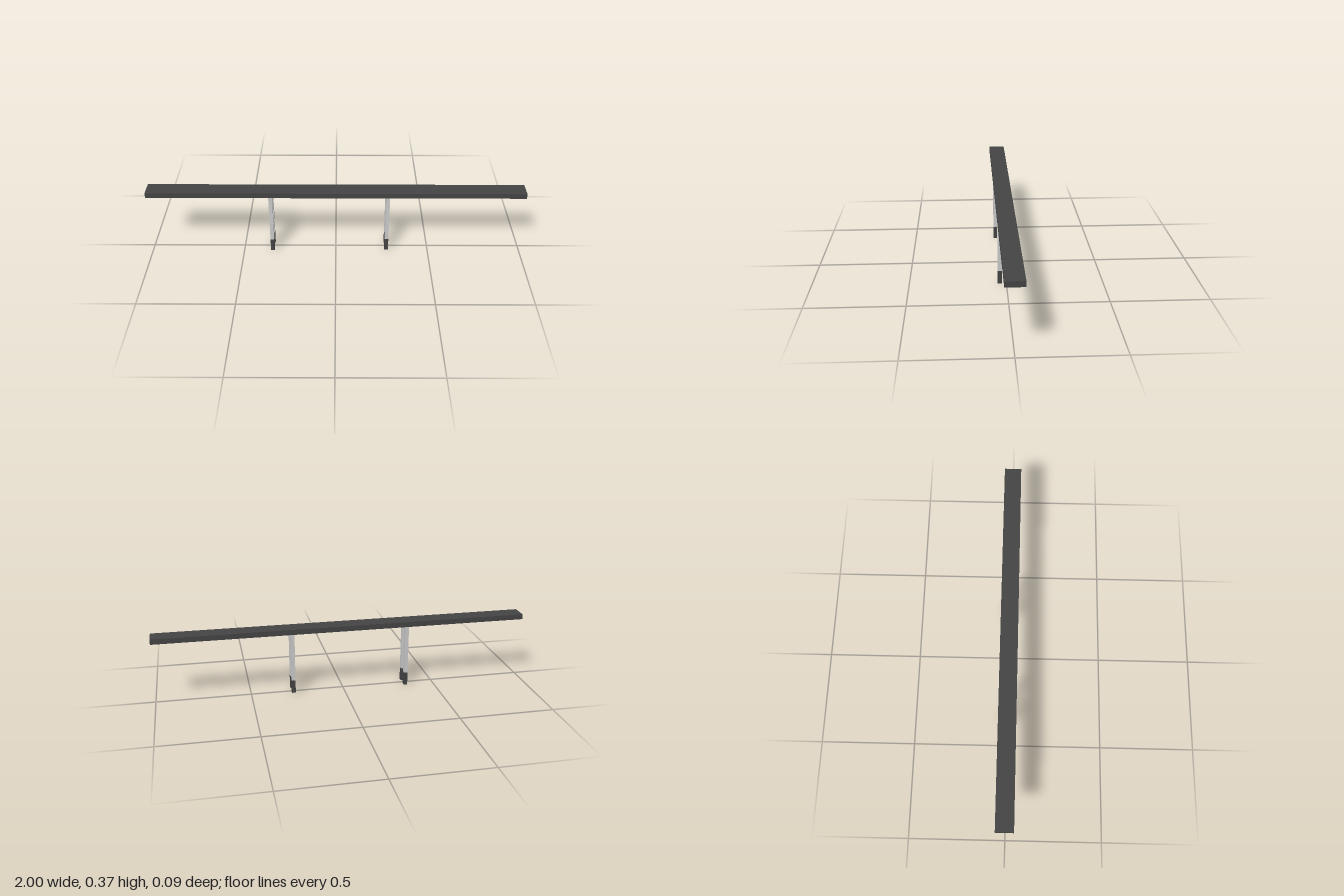
import * as THREE from 'three';

export function createModel() {
  const group = new THREE.Group();
  const dark = new THREE.MeshStandardMaterial({ color: 0x444444 });
  const grey = new THREE.MeshStandardMaterial({ color: 0xcccccc });

  // Box spanning bottom..top, centred on x and z
  const addBox = (parent, name, material, [w, d], x, z, bottom, top) => {
    const mesh = new THREE.Mesh(new THREE.BoxGeometry(w, top - bottom, d), material);
    mesh.name = name;
    mesh.position.set(x, (bottom + top) / 2, z);
    parent.add(mesh);
  };

  // Long flat beam
  const deckBottom = 0.338;
  addBox(group, 'beam', dark, [2, 0.092], 0, 0, deckBottom, 0.366);

  // Two pairs of square posts with dark feet; one pair stands slightly higher
  const section = [0.02, 0.022];
  for (const [x, base, side] of [[-0.345, 0, 'right'], [0.275, 0.006, 'left']]) {
    for (const [z, end] of [[0.034, 'Front'], [-0.029, 'Back']]) {
      const leg = new THREE.Group();
      leg.name = `${side}${end}Leg`;
      const footTop = base + 0.071;
      addBox(leg, 'foot', dark, section, x, z, base, footTop);
      addBox(leg, 'post', grey, section, x, z, footTop, deckBottom);
      group.add(leg);
    }
  }
  return group;
}
